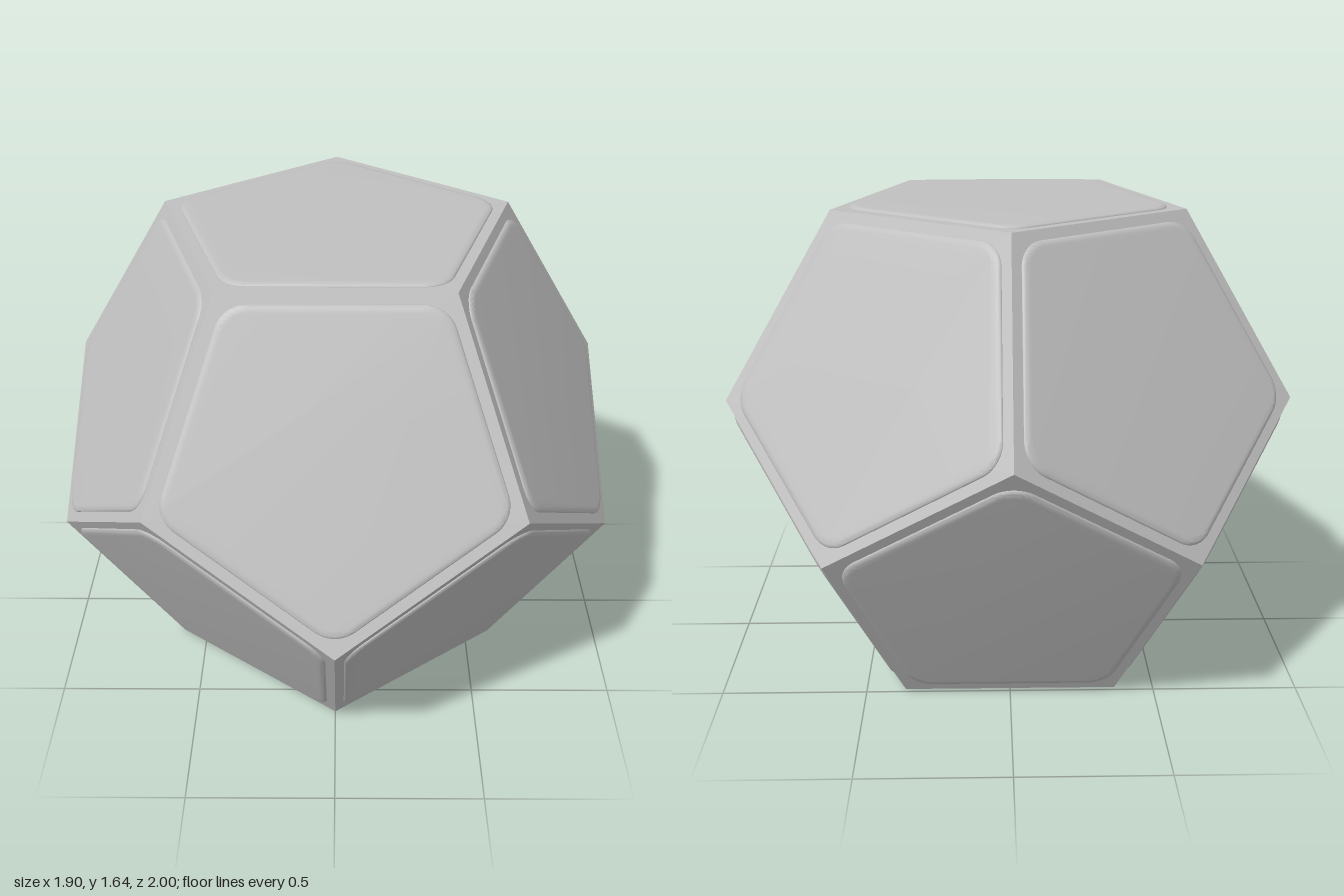
import * as THREE from 'three';
import { ConvexGeometry } from 'three/addons/geometries/ConvexGeometry.js';
import { toCreasedNormals } from 'three/addons/utils/BufferGeometryUtils.js';

const INRADIUS = 0.809;      // centre to face of the core
const RAISE = 0.01;          // panel height above the core
const CENTRE_Y = INRADIUS + RAISE;
const STEP = (Math.PI * 2) / 5;

// Sharp-edged dodecahedron from four rings of five corners
function coreGeometry() {
  const points = [];
  for (const [radius, y] of [[0.618, INRADIUS], [1, 0.191]]) {
    for (let k = 0; k < 5; k++) {
      const p = new THREE.Vector3(radius * Math.sin(k * STEP), y, -radius * Math.cos(k * STEP));
      points.push(p, p.clone().negate());
    }
  }
  return new ConvexGeometry(points);
}

// Rounded pentagon with a corner at -y, softly bevelled towards +z
function panelGeometry() {
  const apothem = 0.44, round = 0.08;
  const reach = (apothem - round) / Math.cos(Math.PI / 5);
  const shape = new THREE.Shape();
  for (let k = 0; k < 5; k++) {
    const a = -Math.PI / 2 + k * STEP;
    shape.absarc(reach * Math.cos(a), reach * Math.sin(a), round, a - STEP / 2, a + STEP / 2, false);
  }
  const geometry = new THREE.ExtrudeGeometry(shape, {
    depth: 0.01, curveSegments: 8,
    bevelThickness: RAISE, bevelSize: 0.025, bevelSegments: 5,
  });
  geometry.translate(0, 0, INRADIUS - 0.01);
  return toCreasedNormals(geometry, 0.7);
}

export function createModel() {
  const grey = new THREE.MeshStandardMaterial({ color: 0xc0c0c0 });
  grey.name = 'grey';

  const model = new THREE.Group();
  model.name = 'dodecahedron';
  const body = new THREE.Group();
  body.name = 'body';
  body.position.y = CENTRE_Y;
  model.add(body);

  const core = new THREE.Mesh(coreGeometry(), grey);
  core.name = 'core';
  body.add(core);

  // One raised panel per face
  const geometry = panelGeometry();
  const addPanel = (name, pitch, yaw, roll) => {
    const panel = new THREE.Mesh(geometry, grey);
    panel.name = name;
    panel.rotation.set(pitch, yaw, roll, 'YXZ');
    body.add(panel);
  };
  const tilt = Math.atan(0.5);
  addPanel('topPanel', -Math.PI / 2, 0, Math.PI);
  addPanel('bottomPanel', Math.PI / 2, 0, Math.PI);
  for (let k = 0; k < 5; k++) {
    addPanel(`upperPanel${k + 1}`, -tilt, k * STEP, 0);
    addPanel(`lowerPanel${k + 1}`, tilt, Math.PI + k * STEP, Math.PI);
  }
  return model;
}
